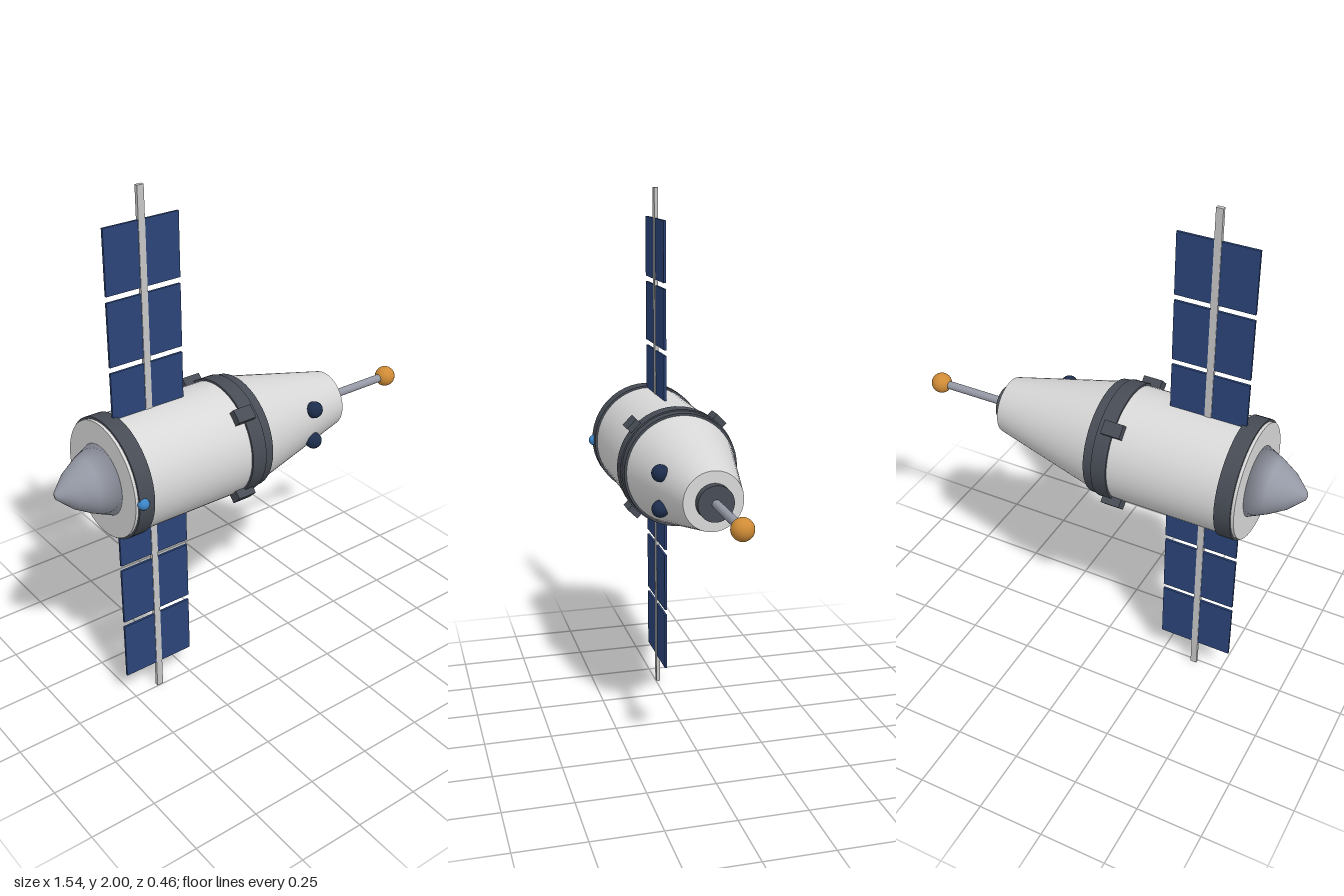
import * as THREE from 'three';

const AXIS_Y = 1, AXIS_Z = -0.009;

const mat = (name, color, extra = {}) => {
  const m = new THREE.MeshStandardMaterial({ color, ...extra });
  m.name = name;
  return m;
};

export function createModel() {
  const white = mat('hull white', 0xd8d8d8);
  const dark = mat('dark grey', 0x474c55);
  const steel = mat('steel grey', 0x9599a5);
  const mastGrey = mat('mast grey', 0xc6c6c6);
  const solarBlue = mat('solar blue', 0x2b4478);
  const glass = mat('window navy', 0x1c2d4c);
  const orange = mat('orange', 0xd08c36);
  const lampBlue = mat('lamp blue', 0x3c84c6);

  const model = new THREE.Group();
  model.name = 'spacecraft';
  const add = (name, geometry, material, x, y = AXIS_Y, z = AXIS_Z) => {
    const mesh = new THREE.Mesh(geometry, material);
    mesh.name = name;
    mesh.position.set(x, y, z);
    model.add(mesh);
    return mesh;
  };
  // Round section lying along x, from x0 (radius r0) to x1 (radius r1)
  const section = (name, x0, x1, r0, r1, material) =>
    add(name, new THREE.CylinderGeometry(r1, r0, x1 - x0, 48).rotateZ(-Math.PI / 2), material, (x0 + x1) / 2);
  const ball = (name, r, material, x, y, z) =>
    add(name, new THREE.SphereGeometry(r, 24, 16), material, x, y, z);

  // Hull
  section('serviceModule', -0.585, -0.04, 0.213, 0.213, white);
  section('rearRing', -0.574, -0.514, 0.221, 0.221, dark);
  section('middleRing', -0.101, -0.043, 0.221, 0.221, dark);
  section('cabinCollar', -0.045, -0.008, 0.216, 0.214, dark);
  section('cabin', -0.01, 0.412, 0.206, 0.107, white);
  section('dockingCap', 0.41, 0.444, 0.064, 0.064, dark);
  section('probe', 0.44, 0.73, 0.0155, 0.0155, steel);
  ball('probeTip', 0.039, orange, 0.729);

  // Rear engine cone, turned around x with its tip at the tail
  const profile = [[0, -0.58], [0.13, -0.585], [0.101, -0.65], [0.066, -0.71], [0.015, -0.765], [0, -0.77]]
    .map(([r, x]) => new THREE.Vector2(r, x)).reverse();
  add('engineCone', new THREE.LatheGeometry(profile, 48).rotateZ(-Math.PI / 2), steel, 0);

  // Four thruster blocks around the middle ring
  for (let i = 0; i < 4; i++) {
    const block = new THREE.BoxGeometry(0.073, 0.05, 0.05).translate(0, 0.218, 0);
    add('thruster', block.rotateX(Math.PI / 4 + i * Math.PI / 2), dark, -0.102);
  }

  // Cabin portholes and side lamp
  for (const s of [-1, 1]) ball('porthole', 0.031, glass, 0.241, AXIS_Y + s * 0.064, 0.133);
  ball('sideLamp', 0.021, lampBlue, -0.558, AXIS_Y, 0.209);

  // Vertical mast with three solar panels above and below
  const mastX = -0.387;
  add('mast', new THREE.BoxGeometry(0.025, 2, 0.014), mastGrey, mastX);
  for (const s of [-1, 1]) {
    for (let i = 0; i < 3; i++) {
      add('solarPanel', new THREE.BoxGeometry(0.287, 0.229, 0.009), solarBlue, mastX, AXIS_Y + s * (0.27 + i * 0.251));
    }
  }
  return model;
}
